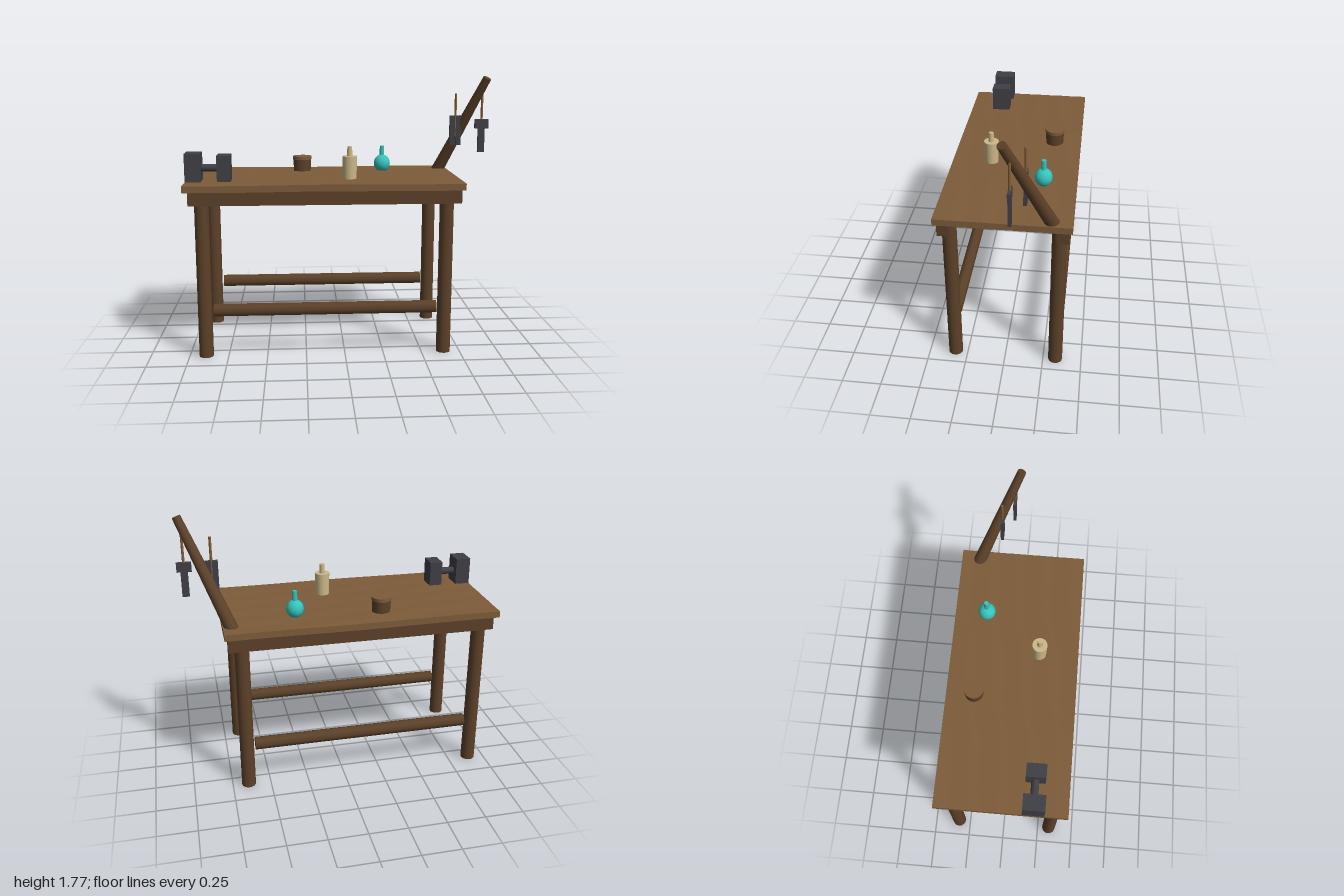
import * as THREE from 'three';

const mat = (name, color, extra = {}) => {
  const m = new THREE.MeshStandardMaterial({ color, ...extra });
  m.name = name;
  return m;
};

export function createModel() {
  const plankWood = mat('plank wood', 0x7d5c3a);
  const darkWood = mat('dark wood', 0x5c4129);
  const handleWood = mat('handle wood', 0x85603a);
  const iron = mat('iron', 0x3f3f46);
  const cream = mat('cream glaze', 0xcdb98a);
  const teal = mat('teal glass', 0x35c4bd);

  const bench = new THREE.Group();
  bench.name = 'workbench';

  const add = (parent, name, geometry, material, x = 0, y = 0, z = 0) => {
    const mesh = new THREE.Mesh(geometry, material);
    mesh.name = name;
    mesh.position.set(x, y, z);
    parent.add(mesh);
    return mesh;
  };
  const box = (parent, name, material, w, h, d, x, y, z) =>
    add(parent, name, new THREE.BoxGeometry(w, h, d), material, x, y, z);
  const lathe = (parent, name, material, points, sides, x, y, z) =>
    add(parent, name, new THREE.LatheGeometry(points.map(p => new THREE.Vector2(...p)), sides), material, x, y, z);
  // Tapered round bar between two points
  const bar = (parent, name, material, from, to, r0, r1, sides = 16) => {
    const a = new THREE.Vector3(...from), b = new THREE.Vector3(...to);
    const dir = b.clone().sub(a);
    const mid = a.clone().add(b).multiplyScalar(0.5);
    const mesh = add(parent, name, new THREE.CylinderGeometry(r1, r0, dir.length(), sides), material, mid.x, mid.y, mid.z);
    mesh.quaternion.setFromUnitVectors(new THREE.Vector3(0, 1, 0), dir.normalize());
    return mesh;
  };

  // Table top with slightly uneven boards
  const top = new THREE.BoxGeometry(1.75, 0.042, 0.82, 12, 1, 14);
  const p = top.attributes.position;
  for (let i = 0; i < p.count; i++) {
    const x = p.getX(i), z = p.getZ(i);
    p.setY(i, p.getY(i) + 0.002 * Math.sin(z * 35) * Math.cos(x * 5));
  }
  top.computeVertexNormals();
  add(bench, 'tableTop', top, plankWood, -0.125, 1.1, 0);

  // Aprons, legs and stretchers, mirrored front to back
  for (const side of [1, -1]) {
    const label = side > 0 ? 'front' : 'back';
    box(bench, label + 'Apron', darkWood, 1.7, 0.09, 0.07, -0.12, 1.037, side * 0.354);
    for (const [x, hand] of [[-0.893, 'Right'], [0.645, 'Left']]) {
      bar(bench, label + hand + 'Leg', darkWood, [x, 0, side * 0.33], [x, 1.075, side * 0.33], 0.046, 0.045);
    }
    bar(bench, label + 'Stretcher', darkWood, [-0.835, 0.305, side * 0.33], [0.59, 0.305, side * 0.33], 0.042, 0.042, 8);
  }

  // Leaning post that carries the hanging tools
  bar(bench, 'leaningPost', darkWood, [0.683, 1.085, -0.3], [0.967, 1.755, -0.035], 0.042, 0.027);

  // Hanging tongs: two jaws beside a thin handle
  const tongs = new THREE.Group();
  tongs.name = 'hangingTongs';
  tongs.position.set(0.783, 0, -0.142);
  bench.add(tongs);
  bar(tongs, 'tongsHandle', handleWood, [0, 1.36, 0], [0, 1.65, 0], 0.008, 0.008, 8);
  for (const side of [1, -1]) {
    box(tongs, 'tongsJaw', iron, 0.035, 0.2, 0.02, side * 0.021, 1.402, 0);
  }

  // Hanging hammer: crossbar, blade and handle
  const hammer = new THREE.Group();
  hammer.name = 'hangingHammer';
  hammer.position.set(0.947, 0, -0.074);
  bench.add(hammer);
  bar(hammer, 'hammerHandle', handleWood, [0, 1.46, 0], [0, 1.66, 0], 0.008, 0.008, 8);
  box(hammer, 'hammerCrossbar', iron, 0.092, 0.06, 0.02, 0, 1.45, 0);
  box(hammer, 'hammerBlade', iron, 0.045, 0.165, 0.018, 0, 1.342, 0);

  // Bench vise: two blocks joined by a round bar
  const vise = new THREE.Group();
  vise.name = 'vise';
  bench.add(vise);
  box(vise, 'viseLargeJaw', iron, 0.098, 0.18, 0.135, -0.951, 1.21, 0.197);
  box(vise, 'viseSmallJaw', iron, 0.085, 0.165, 0.122, -0.758, 1.203, 0.197);
  bar(vise, 'viseScrew', iron, [-0.91, 1.203, 0.195], [-0.79, 1.203, 0.195], 0.024, 0.024);

  // Lidded wooden pot
  add(bench, 'pot', new THREE.CylinderGeometry(0.061, 0.058, 0.08, 20), darkWood, -0.262, 1.16, -0.232);
  add(bench, 'potLid', new THREE.CylinderGeometry(0.064, 0.064, 0.022, 20), plankWood, -0.262, 1.21, -0.232);

  // Cream bottle
  const creamBottle = new THREE.Group();
  creamBottle.name = 'creamBottle';
  bench.add(creamBottle);
  add(creamBottle, 'creamBody', new THREE.CylinderGeometry(0.048, 0.045, 0.147, 14), cream, 0.041, 1.193, 0.158);
  add(creamBottle, 'creamNeck', new THREE.CylinderGeometry(0.016, 0.018, 0.07, 10), cream, 0.041, 1.293, 0.158);

  // Round teal flask with a narrow neck
  const flask = new THREE.Group();
  flask.name = 'tealFlask';
  bench.add(flask);
  const belly = [[0, 0], [0.03, 0.0]];
  for (let i = 0; i <= 8; i++) {
    const a = -0.8 + i * 0.27;
    belly.push([0.056 * Math.cos(a), 0.05 + 0.06 * Math.sin(a)]);
  }
  belly.push([0, 0.111]);
  lathe(flask, 'flaskBelly', teal, belly, 16, 0.289, 1.121, -0.202);
  add(flask, 'flaskNeck', new THREE.CylinderGeometry(0.015, 0.017, 0.075, 10), teal, 0.289, 1.253, -0.202);

  return bench;
}
